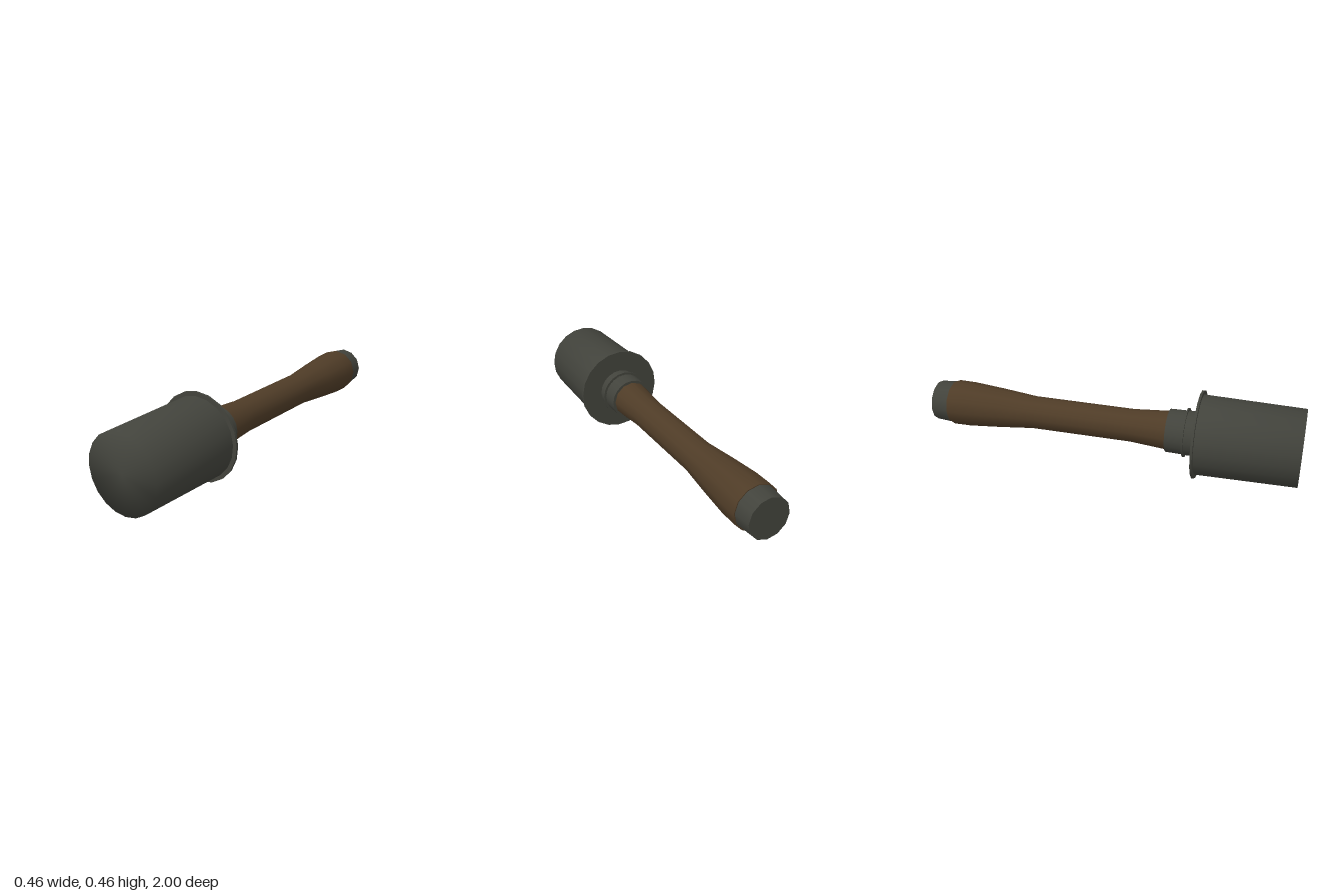
import * as THREE from 'three';
import { mergeGeometries } from 'three/addons/utils/BufferGeometryUtils.js';

const AXIS_Y = 0.231;
const TURN = THREE.MathUtils.degToRad(2);

// Turned part along z. Each run of [radius, z] is smooth; edges between runs stay sharp.
function turned(name, material, sides, runs) {
  const pieces = runs.map((run) =>
    new THREE.LatheGeometry(run.map(([r, z]) => new THREE.Vector2(r, z)), sides, TURN));
  const geometry = mergeGeometries(pieces);
  geometry.rotateX(Math.PI / 2);
  const mesh = new THREE.Mesh(geometry, material);
  mesh.name = name;
  mesh.position.y = AXIS_Y;
  return mesh;
}

// Flat-ended disc or collar between two z positions
function collar(name, material, sides, r0, z0, r1, z1) {
  return turned(name, material, sides, [
    [[0, z0], [r0, z0]],
    [[r0, z0], [r1, z1]],
    [[r1, z1], [0, z1]],
  ]);
}

export function createModel() {
  const metal = new THREE.MeshStandardMaterial({ color: 0x42433c });
  metal.name = 'dark grey green metal';
  const wood = new THREE.MeshStandardMaterial({ color: 0x4f3c27 });
  wood.name = 'brown wood';

  const model = new THREE.Group();
  model.name = 'stickWithHead';

  // Head: slightly tapered can whose front edge is softly shaded
  model.add(turned('head', metal, 20, [
    [[0, 0.475], [0.21, 0.475]],
    [[0.21, 0.475], [0.2, 1], [0, 1]],
  ]));
  model.add(collar('headRim', metal, 20, 0.231, 0.47, 0.231, 0.482));

  // Neck sleeve with a thin ring
  model.add(collar('neckFront', metal, 20, 0.117, 0.405, 0.117, 0.475));
  model.add(collar('neckRing', metal, 20, 0.129, 0.406, 0.129, 0.414));
  model.add(collar('neckRear', metal, 20, 0.114, 0.315, 0.116, 0.41));

  // Wooden handle, waisted and swelling toward the back
  model.add(turned('handle', wood, 12, [
    [[0, -0.905], [0.119, -0.905]],
    [[0.119, -0.905], [0.123, -0.895], [0.122, -0.8], [0.107, -0.62],
      [0.088, -0.43], [0.087, 0.12], [0.102, 0.32]],
  ]));

  // End cap
  model.add(collar('endCap', metal, 12, 0.108, -1, 0.115, -0.9));

  return model;
}
